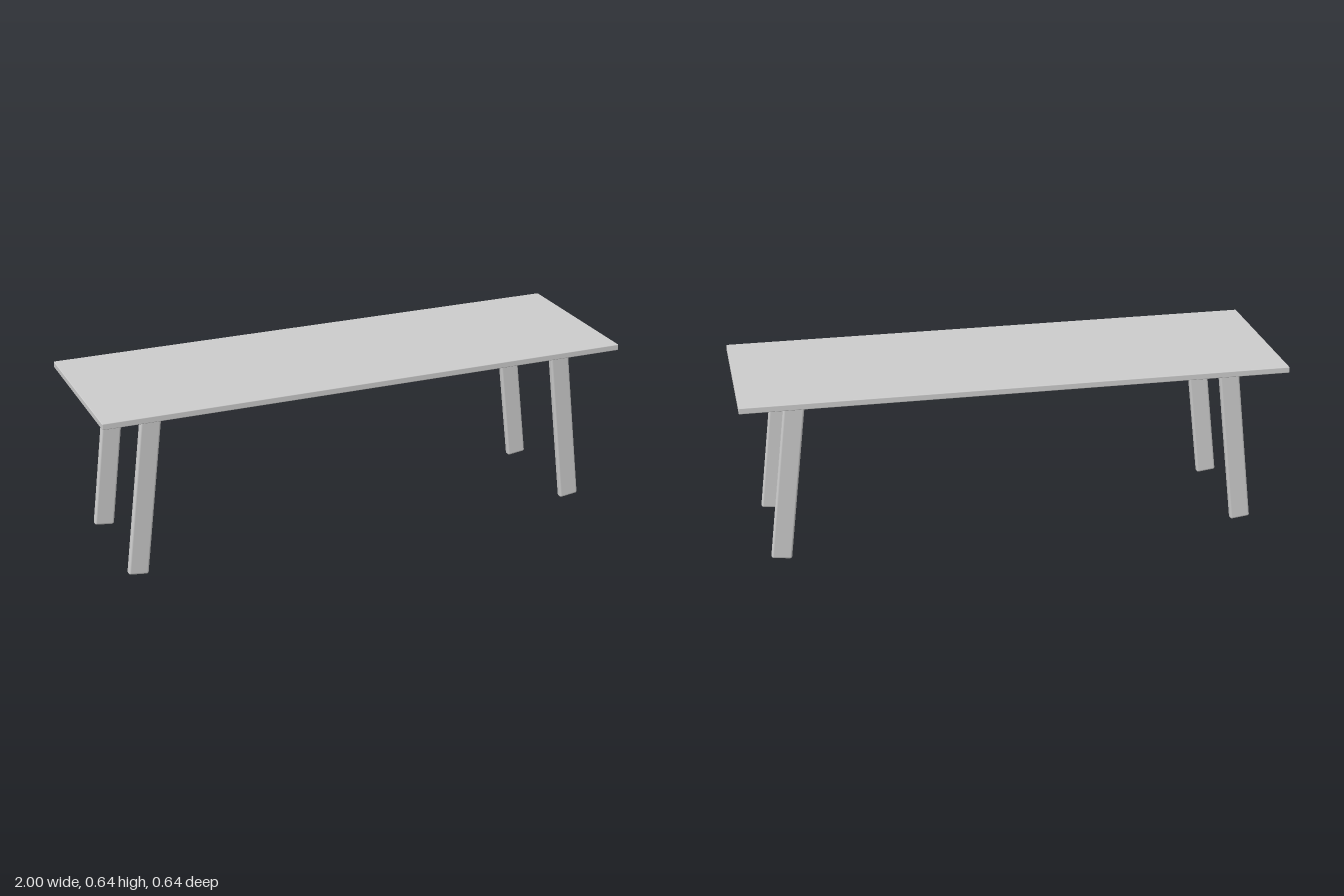
import * as THREE from 'three';
import { RoundedBoxGeometry } from 'three/addons/geometries/RoundedBoxGeometry.js';

export function createModel() {
  const group = new THREE.Group();
  const material = new THREE.MeshStandardMaterial({ color: 0xcccccc });

  // thin tabletop with softly eased edges
  const top = new THREE.Mesh(new RoundedBoxGeometry(2, 0.023, 0.64, 3, 0.003), material);
  top.name = 'tabletop';
  top.position.y = 0.6305;
  group.add(top);

  // four flat, rounded legs, splayed outwards along x and let into the top
  const legGeometry = new RoundedBoxGeometry(0.075, 0.63, 0.027, 4, 0.008);
  const splay = 0.118;
  for (const sx of [1, -1]) {
    for (const sz of [1, -1]) {
      const leg = new THREE.Mesh(legGeometry, material);
      leg.name = (sz > 0 ? 'front' : 'back') + (sx > 0 ? 'Left' : 'Right') + 'Leg';
      leg.position.set(sx * 0.834, 0.3165, sz * 0.22);
      leg.rotation.z = sx * splay;
      group.add(leg);
    }
  }
  return group;
}
